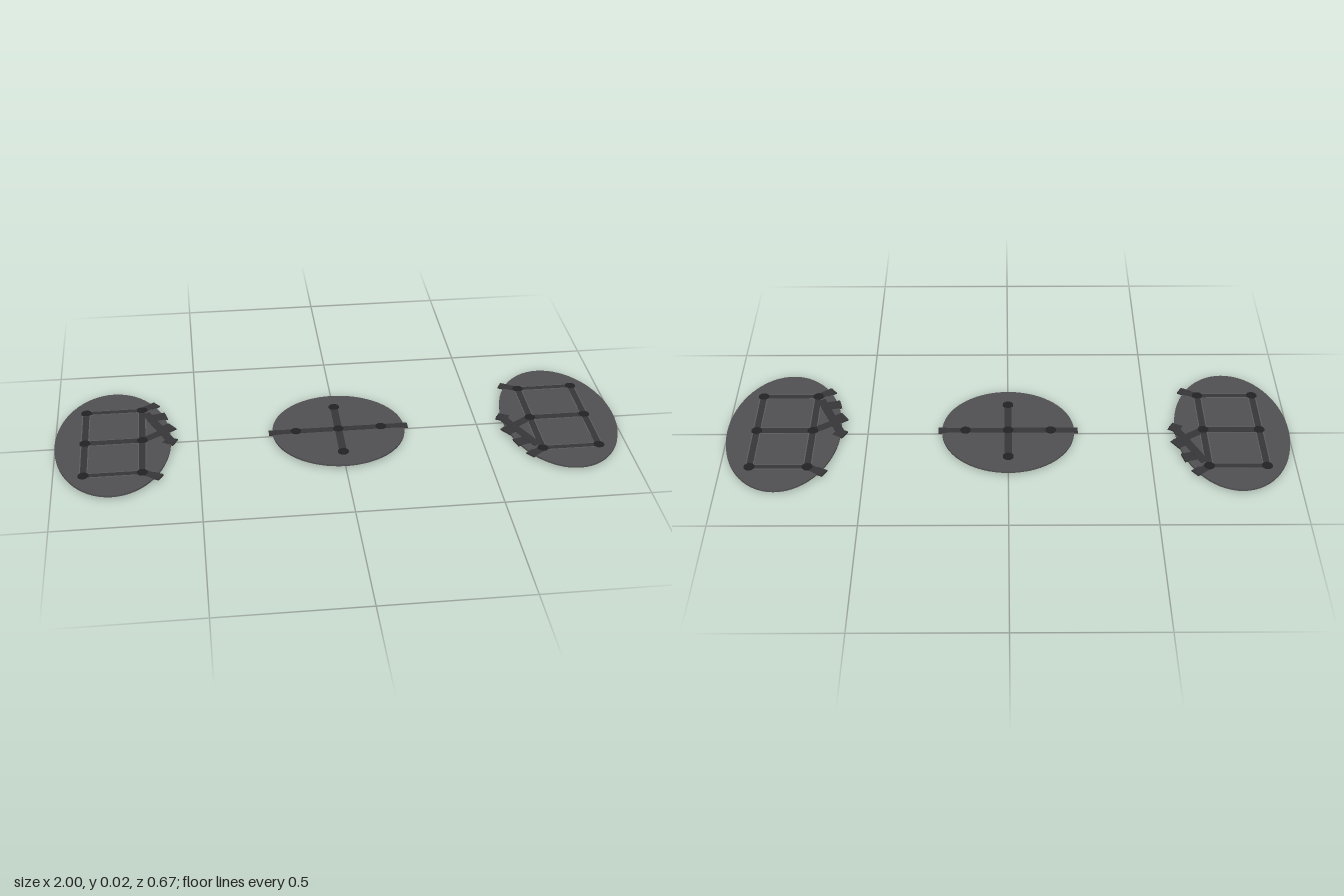
import * as THREE from 'three';

const paint = (color) => new THREE.MeshStandardMaterial({ color });

export function createModel() {
  const plateMat = paint(0x505052);
  const baseMat = paint(0x242426);
  const barMat = paint(0x363638);
  const trimMat = paint(0x5c5c5e);
  const nodeMat = paint(0x222224);

  const add = (parent, name, geometry, material, x, y, z) => {
    const mesh = new THREE.Mesh(geometry, material);
    mesh.name = name;
    mesh.position.set(x, y, z);
    parent.add(mesh);
    return mesh;
  };

  // Elliptical slab between two heights
  const slab = (parent, name, rx, rz, y0, y1, material) => {
    const geometry = new THREE.CylinderGeometry(1, 1, y1 - y0, 64);
    geometry.scale(rx, 1, rz);
    add(parent, name, geometry, material, 0, (y0 + y1) / 2, 0);
  };

  // Flat strip from one point to another on the plate
  const strip = (parent, name, [x0, z0], [x1, z1], width, top, material = barMat) => {
    const length = Math.hypot(x1 - x0, z1 - z0);
    const geometry = new THREE.BoxGeometry(length, top - 0.013, width);
    const mesh = add(parent, name, geometry, material,
      (x0 + x1) / 2, (top + 0.013) / 2, (z0 + z1) / 2);
    mesh.rotation.y = -Math.atan2(z1 - z0, x1 - x0);
  };

  const bar = (parent, a, b, width = 0.022) => {
    strip(parent, 'barTrim', a, b, width + 0.008, 0.0165, trimMat);
    strip(parent, 'bar', a, b, width, 0.0172);
  };

  const node = (parent, x, z) => add(parent, 'node',
    new THREE.CylinderGeometry(0.019, 0.019, 0.006, 20), nodeMat, x, 0.0155, z);

  // Small square tab turned on the rim
  const tab = (parent, x, z, size, angle) => {
    add(parent, 'rimTab', new THREE.BoxGeometry(size, 0.005, size),
      barMat, x, 0.0143, z).rotation.y = angle;
  };

  // Oval side platform, drawn for the -x side
  const sidePlatform = (name) => {
    const group = new THREE.Group();
    group.name = name;
    slab(group, 'base', 0.19, 0.322, 0, 0.009, baseMat);
    slab(group, 'plate', 0.203, 0.336, 0.009, 0.0155, plateMat);

    // Rectangular lattice with a node at every crossing
    const xs = [-0.098, 0.102];
    const zs = [-0.207, 0, 0.207];
    for (const x of xs) bar(group, [x, zs[0]], [x, zs[2]]);
    for (const z of zs) bar(group, [xs[0], z], [xs[1], z], z === 0 ? 0.028 : 0.02);
    for (const x of xs) for (const z of zs) node(group, x, z);

    // Corner spurs and the crossed braces on the inner rim
    strip(group, 'spur', [0.102, -0.207], [0.15, -0.245], 0.03, 0.017);
    strip(group, 'spur', [0.102, 0.207], [0.16, 0.238], 0.03, 0.017);
    strip(group, 'brace', [0.115, -0.185], [0.208, 0.025], 0.03, 0.0175);
    strip(group, 'brace', [0.102, 0], [0.205, -0.07], 0.03, 0.017);
    tab(group, 0.142, -0.235, 0.035, 0.65);
    tab(group, 0.15, 0.233, 0.035, -0.5);
    const teeth = [[0.167, -0.155, 0.045, 0.25], [0.19, -0.073, 0.048, 0.6],
      [0.2, 0.014, 0.04, -0.5]];
    for (const tooth of teeth) tab(group, ...tooth);
    return group;
  };

  // Round centre platform with a cross
  const centre = new THREE.Group();
  centre.name = 'centrePlatform';
  slab(centre, 'base', 0.22, 0.22, 0, 0.009, baseMat);
  slab(centre, 'plate', 0.235, 0.235, 0.009, 0.0155, plateMat);
  strip(centre, 'crossBar', [-0.24, 0], [0.24, 0], 0.026, 0.0172);
  strip(centre, 'crossBar', [0, -0.153], [0, 0.153], 0.026, 0.0172);
  node(centre, 0, 0);
  for (const s of [-1, 1]) {
    node(centre, 0.152 * s, 0);
    node(centre, 0, 0.152 * s);
    tab(centre, 0.233 * s, 0, 0.03, 0);
  }

  // The second oval is the first one turned half way round
  const right = sidePlatform('rightPlatform');
  right.position.x = -0.797;
  const left = sidePlatform('leftPlatform');
  left.position.x = 0.797;
  left.rotation.y = Math.PI;

  const model = new THREE.Group();
  model.name = 'platforms';
  model.add(right, centre, left);
  return model;
}
